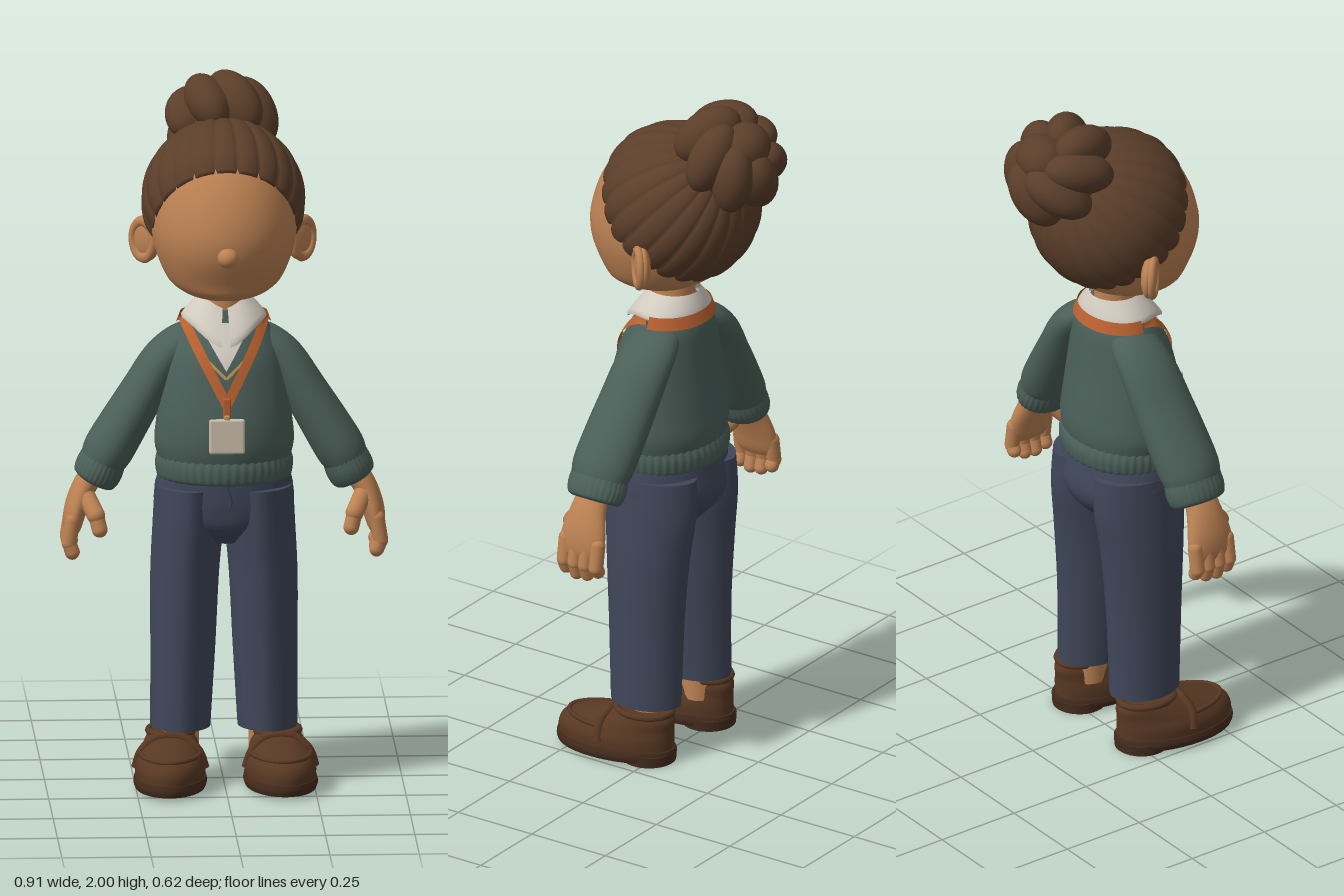
import * as THREE from 'three';
import { RoundedBoxGeometry } from 'three/addons/geometries/RoundedBoxGeometry.js';

const V = (x, y, z) => new THREE.Vector3(x, y, z);
const { sin, cos, abs, PI, max, sqrt, min } = Math;

function mat(name, color, side = THREE.FrontSide) {
  const m = new THREE.MeshStandardMaterial({ color, side });
  m.name = name;
  return m;
}

function add(parent, name, geometry, material, pos = [0, 0, 0], scale = [1, 1, 1]) {
  const m = new THREE.Mesh(geometry, material);
  m.name = name;
  m.position.set(...pos);
  m.scale.set(...scale);
  parent.add(m);
  return m;
}

// Quad grid from rows of points; wrapped rows share their seam
function skin(rows, wrap) {
  const n = rows[0].length, pos = [], idx = [];
  rows.forEach(r => r.forEach(p => pos.push(p.x, p.y, p.z)));
  for (let j = 0; j < rows.length - 1; j++) {
    for (let i = 0; i < (wrap ? n : n - 1); i++) {
      const k = (i + 1) % n, a = j * n + i, b = j * n + k, c = a + n, d = b + n;
      idx.push(a, c, b, b, c, d);
    }
  }
  const g = new THREE.BufferGeometry();
  g.setAttribute('position', new THREE.Float32BufferAttribute(pos, 3));
  g.setIndex(idx);
  g.computeVertexNormals();
  return g;
}

function sheet(fn, nu, nv, wrap = false) {
  const rows = [];
  for (let j = 0; j <= nv; j++) {
    const r = [];
    for (let i = 0; i < (wrap ? nu : nu + 1); i++) r.push(fn(i / nu, j / nv));
    rows.push(r);
  }
  return skin(rows, wrap);
}

// Smooth interpolation of section rows [x, y, z, rx, rz]
function sample(rows, t) {
  const n = rows.length - 1, i = min(Math.floor(t * n), n - 1), f = t * n - i;
  return rows[0].map((_, k) => {
    const at = j => rows[max(0, min(n, j))][k];
    const m0 = (at(i + 1) - at(i - 1)) / 2, m1 = (at(i + 2) - at(i)) / 2;
    const f2 = f * f, f3 = f2 * f;
    return at(i) * (2 * f3 - 3 * f2 + 1) + m0 * (f3 - 2 * f2 + f)
      + at(i + 1) * (3 * f2 - 2 * f3) + m1 * (f3 - f2);
  });
}

// Capped loft of elliptical sections, listed from low to high
function loft(rows, { tilt = false, segs = 32, steps = 24, mod = () => 1 } = {}) {
  const out = [];
  for (let j = 0; j <= steps; j++) {
    const t = j / steps, [x, y, z, rx, rz] = sample(rows, t);
    const p = sample(rows, max(0, t - 0.01)), q = sample(rows, min(1, t + 0.01));
    const T = tilt ? V(q[0] - p[0], q[1] - p[1], q[2] - p[2]).normalize() : V(0, 1, 0);
    const A = T.clone().cross(V(0, 0, 1)).normalize(), B = A.clone().cross(T);
    const ring = [];
    for (let i = 0; i < segs; i++) {
      const a = i / segs * 2 * PI, m = mod(a, t);
      ring.push(V(x, y, z).addScaledVector(A, rx * m * cos(a)).addScaledVector(B, rz * m * sin(a)));
    }
    const hub = Array(segs).fill(V(x, y, z));
    if (j === 0) out.push(hub, ring);
    out.push(ring);
    if (j === steps) out.push(ring, hub);
  }
  return skin(out, true);
}

function tube(points, r, closed = false) {
  const curve = new THREE.CatmullRomCurve3(points.map(p => V(...p)), closed);
  return new THREE.TubeGeometry(curve, 40, r, 8, closed);
}

function capsule(parent, name, a, b, r, material) {
  const A = V(...a), B = V(...b), d = B.clone().sub(A);
  const m = add(parent, name, new THREE.CapsuleGeometry(r, d.length(), 6, 14), material);
  m.position.copy(A).addScaledVector(d, 0.5);
  m.quaternion.setFromUnitVectors(V(0, 1, 0), d.normalize());
}

export function createModel() {
  const root = new THREE.Group();
  root.name = 'figure';
  const DS = THREE.DoubleSide;
  const M = {
    skin: mat('skin', 0xbd8253), hair: mat('hair brown', 0x5b3e2a), knit: mat('sweater green', 0x4b5f59),
    cloth: mat('trouser navy', 0x40475a), shoe: mat('shoe leather', 0x583823), sole: mat('sole brown', 0x452c1d),
    shirt: mat('shirt white', 0xd2cbc0, DS), orange: mat('lanyard orange', 0xb9602f, DS),
    gold: mat('necklace gold', 0xb8924e, DS), badge: mat('badge cream', 0xcabfab),
  };
  const ball = new THREE.SphereGeometry(1, 28, 20);
  const ribs = n => a => 1 + 0.012 * cos(n * a);

  // Head, nose and neck
  add(root, 'head', loft([
    [0, 1.398, 0.09, 0.03, 0.04], [0, 1.405, 0.09, 0.08, 0.09], [0, 1.425, 0.09, 0.125, 0.135],
    [0, 1.46, 0.075, 0.163, 0.167], [0, 1.54, 0.06, 0.195, 0.217], [0, 1.62, 0.05, 0.205, 0.23],
    [0, 1.72, 0.03, 0.195, 0.217], [0, 1.8, 0.02, 0.16, 0.17], [0, 1.84, 0, 0.1, 0.1],
  ], { segs: 48, steps: 40 }), M.skin);
  add(root, 'nose', ball, M.skin, [0, 1.55, 0.282], [0.03, 0.028, 0.03]);
  add(root, 'neck', new THREE.CylinderGeometry(0.058, 0.06, 0.14, 32), M.skin, [0, 1.36, 0.035]);

  // Swept-back hair: locks run from the hairline to the bun
  const P = V(0, 0.75, -0.66).normalize(), X = V(1, 0, 0), F = X.clone().cross(P);
  const around = (a, phi) => P.clone().multiplyScalar(cos(phi))
    .addScaledVector(X, sin(phi) * cos(a)).addScaledVector(F, sin(phi) * sin(a));
  add(root, 'hair', sheet((u, v) => {
    const a = u * 2 * PI, edge = (120 - 22 * max(0, sin(a))) * PI / 180;
    const w = max(0, (v - 0.05) / 0.95);
    const d = around(a, edge * (1 - w) + 0.01);
    const lock = abs(sin(11 * a)) ** 0.6;
    const r = (0.97 + 0.035 * lock * (1 - w * 0.6)) * (v < 0.05 ? 0.86 + 2.2 * v : 1 - 0.03 * (1 - min(1, w * 8)));
    return V(0.23 * d.x * r, 1.66 + 0.23 * d.y * r, 0.01 + (d.z > 0 ? 0.25 : 0.225) * d.z * r);
  }, 220, 40, true), M.hair);

  // Bun made of coiled lobes
  const bun = new THREE.Group();
  bun.name = 'bun';
  bun.position.set(0, 1.858, -0.168);
  bun.quaternion.setFromUnitVectors(V(0, 1, 0), P);
  root.add(bun);
  add(bun, 'bunCore', ball, M.hair, [0, -0.02, 0], [0.125, 0.1, 0.13]);
  for (let i = 0; i < 7; i++) {
    const a = (i + 0.25) / 7 * 2 * PI;
    const lobe = add(bun, 'bunLobe', ball, M.hair, [0.088 * cos(a), 0, 0.094 * sin(a)], [0.07, 0.105, 0.06]);
    lobe.rotation.set(0, -a, 0.35);
    lobe.rotateX(0.45);
  }
  add(bun, 'bunCentre', ball, M.hair, [0.01, 0.055, -0.01], [0.078, 0.07, 0.07]);

  // Sweater body and ribbed hem
  const torso = [
    [0, 0.92, 0.058, 0.18, 0.148], [0, 0.98, 0.06, 0.195, 0.16], [0, 1.05, 0.063, 0.19, 0.156],
    [0, 1.15, 0.06, 0.176, 0.14], [0, 1.23, 0.053, 0.16, 0.125], [0, 1.29, 0.04, 0.138, 0.105],
    [0, 1.33, 0.035, 0.11, 0.085], [0, 1.36, 0.035, 0.075, 0.075],
  ];
  add(root, 'sweaterBody', loft(torso, { segs: 48, steps: 36 }), M.knit);
  add(root, 'sweaterHem', loft([
    [0, 0.88, 0.057, 0.178, 0.15], [0, 0.89, 0.057, 0.187, 0.158], [0, 0.925, 0.057, 0.191, 0.161],
    [0, 0.955, 0.058, 0.183, 0.15],
  ], { segs: 192, steps: 10, mod: ribs(48) }), M.knit);

  // Depth of the sweater front at a point, for things worn on it
  const chest = (x, y, lift) => {
    let lo = 0, hi = 1;
    for (let i = 0; i < 24; i++) {
      const t = (lo + hi) / 2;
      if (sample(torso, t)[1] < y) lo = t; else hi = t;
    }
    const [, , z, rx, rz] = sample(torso, lo);
    return V(x, y, z + rz * sqrt(max(0, 1 - (x / rx) ** 2)) + lift);
  };

  // Shirt front and folded collar
  add(root, 'shirtFront', sheet((u, v) => chest((u - 0.5) * 0.15 * v, 1.205 + 0.125 * v, 0.005), 12, 12), M.shirt);
  add(root, 'shirtCollar', sheet((u, v) => {
    const a = PI / 2 + 0.1 + u * (2 * PI - 0.2), f = max(0, sin(a)), k = sqrt(v);
    const low = V(0.118 * cos(a), 1.33 - 0.06 * f ** 4, 0.035 + (0.09 + 0.055 * f) * sin(a));
    const top = V(0.072 * cos(a), 1.395 - 0.025 * f ** 6, 0.037 + 0.075 * sin(a));
    return low.lerp(top, v).addScaledVector(V(cos(a), 0, sin(a)), 0.03 * (k - v));
  }, 64, 8), M.shirt);

  // Lanyard, necklace and badge
  const vee = (name, x0, y0, y1, w, lift, material) => [1, -1].forEach(s => {
    const L = Math.hypot(x0, y0 - y1), nx = (y0 - y1) / L * w, ny = -x0 / L * w;
    add(root, name, sheet((u, v) => {
      const x = max(0, x0 * (1 - v) + nx * (u - 0.5)), y = y0 + (y1 - y0) * v + ny * (u - 0.5);
      return chest(s * x, y, lift);
    }, 4, 24), material);
  });
  vee('lanyardStrap', 0.116, 1.335, 1.115, 0.028, 0.009, M.orange);
  vee('necklace', 0.085, 1.265, 1.185, 0.008, 0.007, M.gold);
  add(root, 'lanyardBack', sheet((u, v) => {
    const a = PI + u * PI;
    return V((0.134 - 0.012 * v) * cos(a), 1.312 + 0.034 * v, 0.036 + (0.108 - 0.012 * v) * sin(a));
  }, 32, 3), M.orange);
  add(root, 'lanyardTail', new RoundedBoxGeometry(0.022, 0.06, 0.012, 2, 0.004), M.orange, [0, 1.105, 0.22]);
  add(root, 'badgeClip', new RoundedBoxGeometry(0.016, 0.02, 0.016, 2, 0.004), M.gold, [0, 1.078, 0.228]);
  add(root, 'badgeCard', new RoundedBoxGeometry(0.1, 0.1, 0.016, 4, 0.007), M.badge, [0, 1.028, 0.23]);

  // Trouser seat and fly
  add(root, 'trouserSeat', loft([
    [0, 0.7, 0.045, 0.07, 0.09], [0, 0.75, 0.045, 0.16, 0.135], [0, 0.8, 0.044, 0.194, 0.148],
    [0, 0.86, 0.05, 0.192, 0.145], [0, 0.91, 0.055, 0.18, 0.14],
  ], { segs: 40 }), M.cloth);
  add(root, 'fly', tube([[0, 0.88, 0.193], [0.012, 0.83, 0.19], [0, 0.79, 0.185]], 0.006), M.cloth);

  // Everything that comes in pairs
  for (const s of [1, -1]) {
    const side = new THREE.Group();
    side.name = s > 0 ? 'leftSide' : 'rightSide';
    side.scale.x = s;
    root.add(side);

    // Ear
    const ear = new THREE.Group();
    ear.name = 'ear';
    ear.position.set(0.218, 1.545, -0.002);
    ear.rotation.y = 0.8;
    side.add(ear);
    add(ear, 'earShell', ball, M.skin, [0, 0, -0.004], [0.05, 0.064, 0.022]);
    add(ear, 'earRim', new THREE.TorusGeometry(0.04, 0.012, 10, 32), M.skin, [0, 0, 0.008], [1, 1.3, 1]);

    // Sleeve and ribbed cuff
    add(side, 'sleeve', loft([
      [0.345, 0.915, 0.055, 0.06, 0.082], [0.325, 0.955, 0.054, 0.07, 0.092], [0.28, 1.03, 0.046, 0.068, 0.093],
      [0.225, 1.12, 0.036, 0.063, 0.09], [0.17, 1.21, 0.026, 0.057, 0.086], [0.115, 1.265, 0.022, 0.046, 0.075],
      [0.07, 1.295, 0.025, 0.025, 0.05],
    ], { tilt: true }), M.knit);
    add(side, 'cuff', loft([
      [0.366, 0.868, 0.055, 0.05, 0.07], [0.362, 0.876, 0.055, 0.062, 0.082], [0.35, 0.902, 0.055, 0.067, 0.089],
      [0.337, 0.932, 0.055, 0.064, 0.086],
    ], { tilt: true, segs: 120, steps: 10, mod: ribs(30) }), M.knit);

    // Hand
    add(side, 'palm', loft([
      [0.428, 0.715, 0.055, 0.016, 0.055], [0.425, 0.74, 0.055, 0.026, 0.07], [0.415, 0.79, 0.055, 0.032, 0.07],
      [0.392, 0.85, 0.055, 0.034, 0.055], [0.36, 0.9, 0.055, 0.034, 0.045],
    ], { tilt: true }), M.skin);
    for (let i = 0; i < 4; i++) {
      const z = 0.108 - i * 0.036, drop = [0.01, 0, 0.004, 0.02][i];
      capsule(side, 'finger', [0.426, 0.765, z], [0.436, 0.7, z], 0.021, M.skin);
      capsule(side, 'fingertip', [0.436, 0.7, z], [0.426, 0.665 + drop, z], 0.02, M.skin);
    }
    capsule(side, 'thumb', [0.39, 0.835, 0.085], [0.362, 0.785, 0.132], 0.026, M.skin);
    capsule(side, 'thumbTip', [0.362, 0.785, 0.132], [0.352, 0.745, 0.14], 0.022, M.skin);

    // Trouser leg with pressed crease, and ankle
    add(side, 'trouserLeg', loft([
      [0.122, 0.165, 0.047, 0.084, 0.105], [0.115, 0.4, 0.05, 0.091, 0.112], [0.11, 0.6, 0.048, 0.096, 0.125],
      [0.1, 0.75, 0.045, 0.099, 0.14], [0.095, 0.86, 0.05, 0.098, 0.142],
    ], { segs: 64, mod: a => 1 + 0.035 * abs(sin(a)) ** 30 }), M.cloth);
    add(side, 'ankle', new THREE.CylinderGeometry(0.056, 0.056, 0.12, 24), M.skin, [0.125, 0.15, 0.035]);

    // Loafer
    const shoe = new THREE.Group();
    shoe.name = 'loafer';
    shoe.position.x = 0.145;
    shoe.rotation.y = 0.07;
    side.add(shoe);
    const egg = a => 1 + 0.05 * sin(a) * cos(a) ** 2;
    add(shoe, 'shoeUpper', loft([
      [0, 0.03, 0.125, 0.096, 0.178], [0, 0.07, 0.124, 0.098, 0.178], [0, 0.1, 0.11, 0.087, 0.165],
      [0, 0.128, 0.066, 0.073, 0.124], [0, 0.15, 0.036, 0.061, 0.082],
    ], { segs: 40, mod: egg }), M.shoe);
    add(shoe, 'sole', loft([
      [0, 0.01, 0.125, 0.098, 0.18], [0, 0.025, 0.125, 0.103, 0.185], [0, 0.042, 0.125, 0.1, 0.183],
    ], { segs: 40, steps: 6, mod: egg }), M.sole);
    add(shoe, 'heel', new THREE.CylinderGeometry(0.078, 0.076, 0.03, 32), M.sole, [0, 0.015, 0.02]);
    add(shoe, 'shoeStrap', tube([
      [-0.097, 0.06, 0.13], [-0.08, 0.108, 0.135], [-0.045, 0.14, 0.125], [0, 0.148, 0.122],
      [0.045, 0.14, 0.125], [0.08, 0.108, 0.135], [0.097, 0.06, 0.13],
    ], 0.013), M.shoe);
    const arc = (n, from, to, y, cz, rx, rz) => Array.from({ length: n }, (_, i) => {
      const a = from + (to - from) * i / (n - 1);
      return [rx * cos(a), y, cz + rz * sin(a)];
    });
    add(shoe, 'toeSeam', tube(arc(12, 0.2, PI - 0.2, 0.103, 0.108, 0.086, 0.163), 0.007), M.shoe);
    add(shoe, 'shoeCollar', tube(arc(17, 0, 2 * PI, 0.147, 0.036, 0.063, 0.082).slice(0, 16), 0.01, true), M.shoe);
  }
  return root;
}
